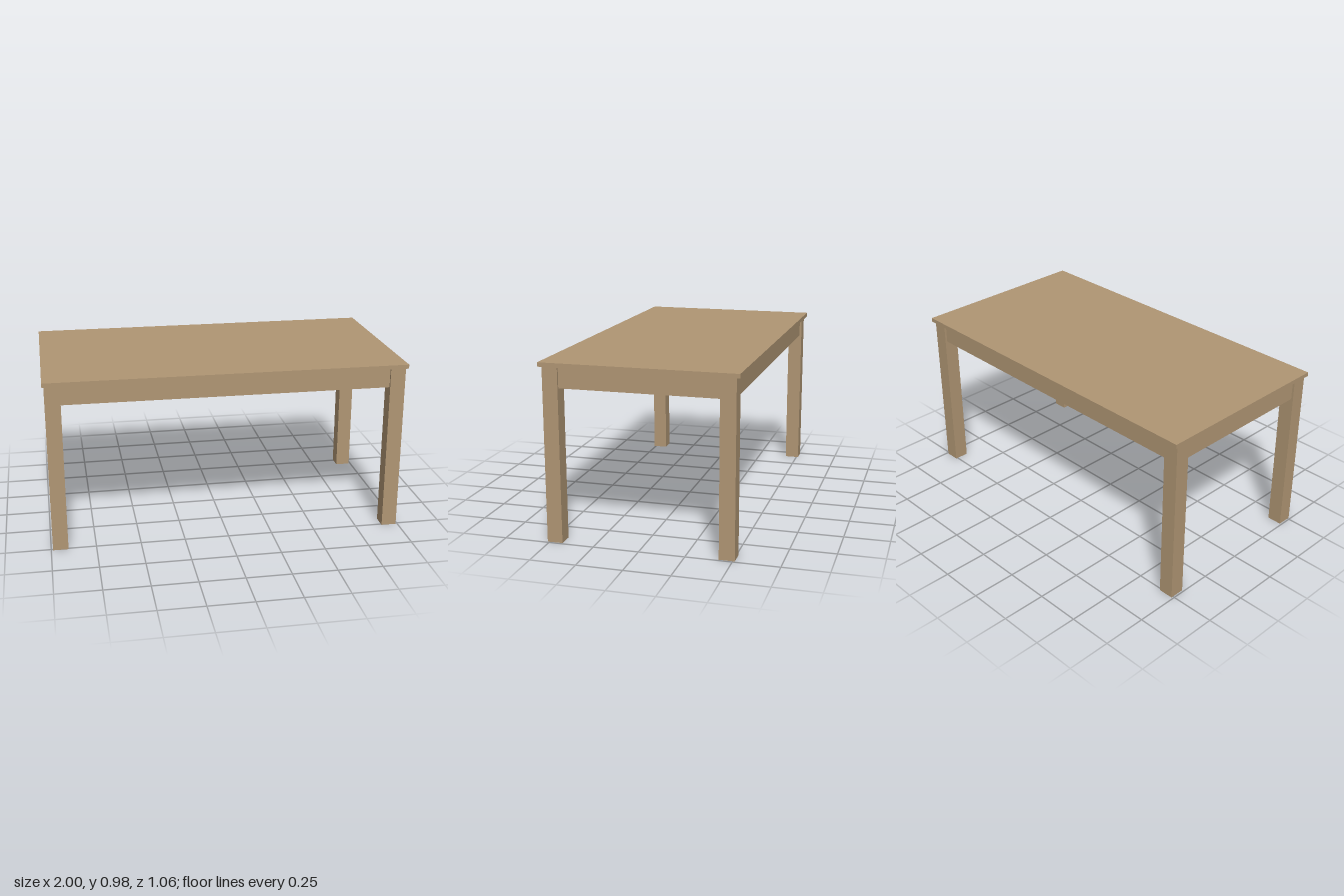
import * as THREE from 'three';

const TOP_Y = 0.975, TOP_T = 0.023, UNDER = TOP_Y - TOP_T;
const LEG = { x0: 0.905, x1: 0.99, z0: 0.427, z1: 0.511 };
const APRON = { y0: 0.84, recess: 0.012, thick: 0.04 };

export function createModel() {
  const table = new THREE.Group();
  table.name = 'table';
  const wood = new THREE.MeshStandardMaterial({ color: 0xb09674 });

  // Box given by its minimum and maximum corners
  const box = (name, [x0, y0, z0], [x1, y1, z1]) => {
    const mesh = new THREE.Mesh(new THREE.BoxGeometry(x1 - x0, y1 - y0, z1 - z0), wood);
    mesh.position.set((x0 + x1) / 2, (y0 + y1) / 2, (z0 + z1) / 2);
    mesh.name = name;
    table.add(mesh);
    return mesh;
  };

  // Thin overhanging top
  box('tableTop', [-1, UNDER, -0.53], [1, TOP_Y, 0.53]);

  // Square legs in the four corners
  const legX = (LEG.x0 + LEG.x1) / 2, legZ = (LEG.z0 + LEG.z1) / 2;
  for (const [sz, end] of [[1, 'front'], [-1, 'back']]) {
    for (const [sx, side] of [[1, 'Left'], [-1, 'Right']]) {
      const leg = box(`${end}${side}Leg`, [LEG.x0, 0, LEG.z0], [LEG.x1, UNDER, LEG.z1]);
      leg.position.x = sx * legX;
      leg.position.z = sz * legZ;
    }
  }

  // Long aprons between the legs, set back from their outer faces
  const az = LEG.z1 - APRON.recess, ax = LEG.x1 - APRON.recess;
  for (const [s, name] of [[1, 'frontApron'], [-1, 'backApron']]) {
    const apron = box(name, [-LEG.x0, APRON.y0, az - APRON.thick], [LEG.x0, UNDER, az]);
    apron.position.z *= s;
  }

  // Short aprons at the two ends
  for (const [s, name] of [[1, 'leftApron'], [-1, 'rightApron']]) {
    const apron = box(name, [ax - APRON.thick, APRON.y0, -LEG.z0], [ax, UNDER, LEG.z0]);
    apron.position.x *= s;
  }

  return table;
}
